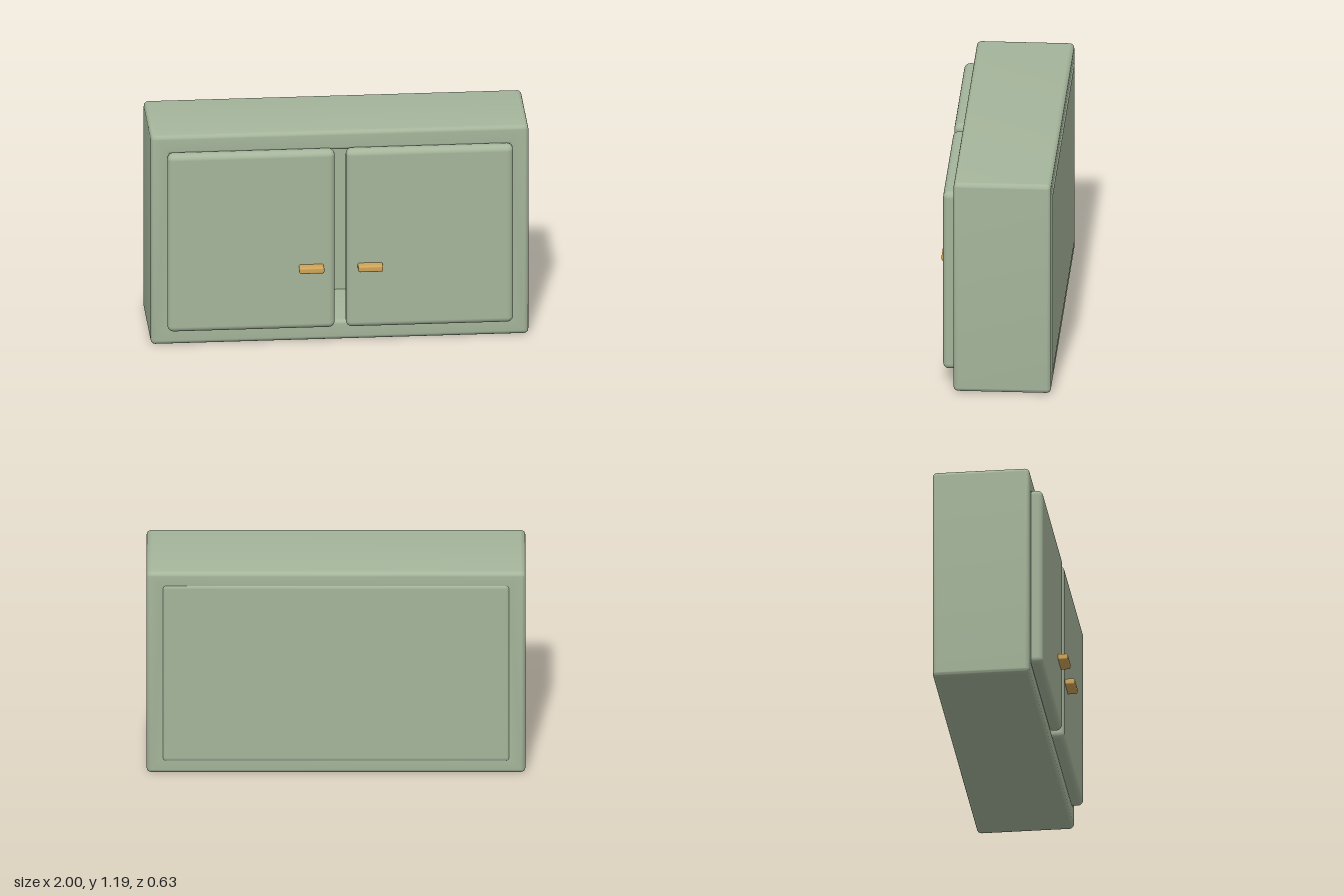
import * as THREE from 'three';
import { toCreasedNormals } from 'three/addons/utils/BufferGeometryUtils.js';
import { RoundedBoxGeometry } from 'three/addons/geometries/RoundedBoxGeometry.js';

const sage = new THREE.MeshStandardMaterial({ color: 0xa5b59b });
const brass = new THREE.MeshStandardMaterial({ color: 0xd0a558 });

// Rounded slab given by its min and max corners
function slab(name, min, max, radius, material) {
  const size = max.map((v, i) => v - min[i]);
  const mesh = new THREE.Mesh(new RoundedBoxGeometry(...size, 5, radius), material);
  mesh.position.set(...min.map((v, i) => (v + max[i]) / 2));
  mesh.name = name;
  return mesh;
}

// Hollow carcass: rounded frame swept from back to front, edges eased
function carcass() {
  const w = 1, h = 1.19, r = 0.025, bevel = 0.024, back = -0.31, front = 0.205;
  const shape = new THREE.Shape();
  shape.moveTo(-w + r, 0);
  shape.lineTo(w - r, 0);
  shape.absarc(w - r, r, r, -Math.PI / 2, 0);
  shape.absarc(w - r, h - r, r, 0, Math.PI / 2);
  shape.absarc(-w + r, h - r, r, Math.PI / 2, Math.PI);
  shape.absarc(-w + r, r, r, Math.PI, Math.PI * 1.5);

  const opening = new THREE.Path();
  opening.moveTo(-0.89, 0.11);
  opening.lineTo(-0.89, 1.08);
  opening.lineTo(0.89, 1.08);
  opening.lineTo(0.89, 0.11);
  opening.closePath();
  shape.holes.push(opening);

  const geometry = new THREE.ExtrudeGeometry(shape, {
    depth: front - back - 2 * bevel, curveSegments: 5,
    bevelThickness: bevel, bevelSize: bevel, bevelOffset: -bevel, bevelSegments: 5,
  });
  geometry.translate(0, 0, back + bevel);
  const mesh = new THREE.Mesh(toCreasedNormals(geometry, 0.6), sage);
  mesh.name = 'carcass';
  return mesh;
}

export function createModel() {
  const cabinet = new THREE.Group();
  cabinet.name = 'cabinet';
  cabinet.add(carcass());

  // Back panel, standing slightly proud of the carcass
  cabinet.add(slab('backPanel', [-0.925, 0.065, -0.316], [0.925, 1.125, -0.23], 0.03, sage));

  // Mirrored pair of doors, each with a bar handle near the middle
  for (const [side, s] of [['left', 1], ['right', -1]]) {
    const span = (a, b) => (s > 0 ? [a, b] : [-b, -a]);
    const [d0, d1] = span(0.03, 0.915);
    const [h0, h1] = span(0.09, 0.222);
    cabinet.add(slab(side + 'Door', [d0, 0.09, 0.19], [d1, 1.1, 0.266], 0.032, sage));
    cabinet.add(slab(side + 'Handle', [h0, 0.424, 0.255], [h1, 0.46, 0.317], 0.01, brass));
  }
  return cabinet;
}
